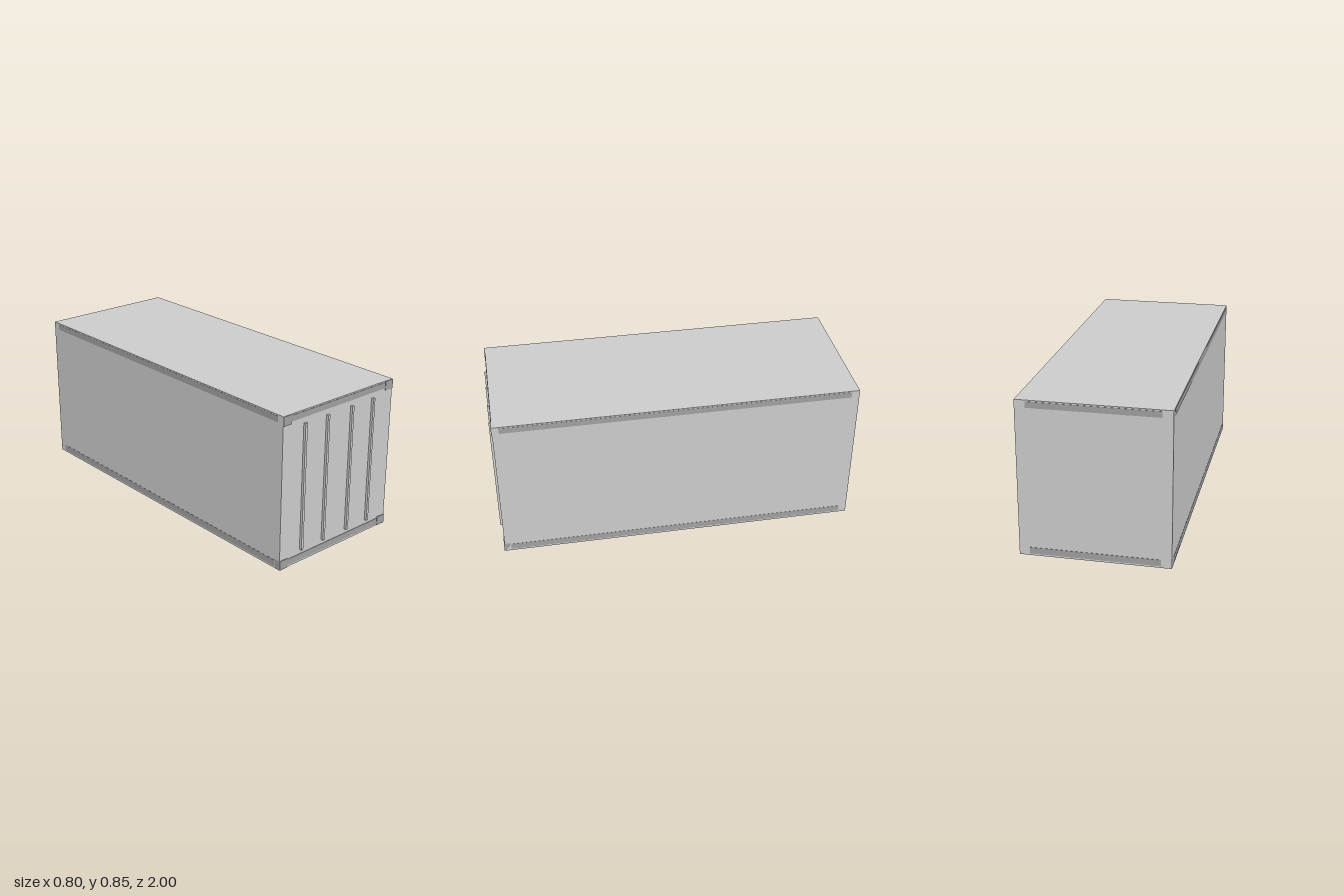
import * as THREE from 'three';

const panel = new THREE.MeshStandardMaterial({ color: 0xcccccc });
const frame = new THREE.MeshStandardMaterial({ color: 0xa0a0a0 });

// Box given by its min and max corners
function block(group, name, material, [x0, y0, z0], [x1, y1, z1]) {
  const mesh = new THREE.Mesh(new THREE.BoxGeometry(x1 - x0, y1 - y0, z1 - z0), material);
  mesh.position.set((x0 + x1) / 2, (y0 + y1) / 2, (z0 + z1) / 2);
  mesh.name = name;
  group.add(mesh);
}

export function createModel() {
  const model = new THREE.Group();
  model.name = 'shippingContainer';
  const W = 0.399, H = 0.85, FRONT = 0.986, BACK = -0.998;

  // Closed container body
  block(model, 'body', panel, [-W, 0, BACK], [W, H, FRONT]);

  // Bottom and top rails around all four sides, standing just proud of the body
  for (const [level, y0, y1] of [['bottom', 0.01, 0.045], ['top', 0.81, 0.843]]) {
    for (const [side, s] of [['left', 1], ['right', -1]]) {
      const xs = [s * (W - 0.01), s * 0.4].sort((a, b) => a - b);
      block(model, `${level}${side}Rail`, frame, [xs[0], y0, -0.955], [xs[1], y1, 0.95]);
    }
    block(model, `${level}FrontRail`, frame, [-0.345, y0, 0.97], [0.345, y1, 0.988]);
    block(model, `${level}BackRail`, frame, [-0.343, y0, -1], [0.343, y1, -0.98]);
  }

  // Corner fittings on the door end
  for (const s of [-1, 1]) {
    for (const y of [0.001, 0.798]) {
      const xs = [s * 0.343, s * W].sort((a, b) => a - b);
      block(model, 'cornerFitting', frame, [xs[0], y, 0.955], [xs[1], y + 0.051, 0.99]);
    }
  }

  // Vertical door locking bars
  for (const x of [-0.25, -0.09, 0.0875, 0.2475]) {
    block(model, 'doorBar', panel, [x - 0.007, 0.07, 0.98], [x + 0.007, 0.78, 1]);
  }
  return model;
}
